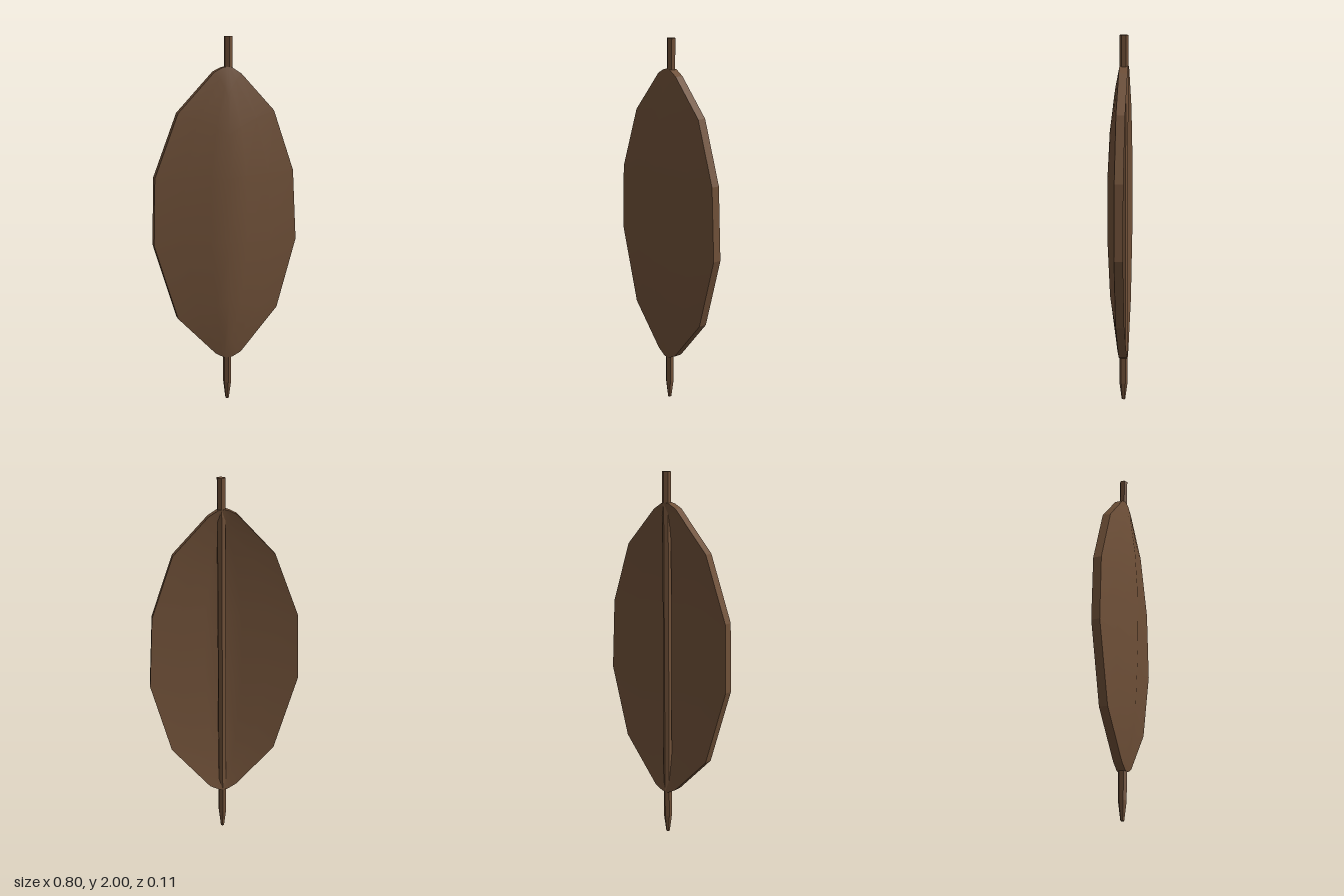
import * as THREE from 'three';

const THICK = 0.045, RIM_Z = -0.012;

// Cross-sections from top to bottom: [left x, left y, ridge y, ridge z, right x, right y]
const ROWS = [
  [-0.02, 1.842, 1.846, -0.012, 0.03, 1.842],
  [-0.065, 1.82, 1.7, 0.016, 0.08, 1.81],
  [-0.262, 1.61, 1.5, 0.041, 0.262, 1.615],
  [-0.39, 1.275, 1.27, 0.053, 0.375, 1.29],
  [-0.4, 0.915, 0.92, 0.055, 0.397, 0.905],
  [-0.275, 0.5, 0.6, 0.041, 0.29, 0.52],
  [-0.065, 0.28, 0.4, 0.014, 0.08, 0.275],
  [-0.015, 0.25, 0.248, -0.012, 0.03, 0.25],
];
const COLUMNS = [-1, -0.6, -0.25, 0, 0.25, 0.6, 1];

// Point on the shell: t runs from -1 (one rim) through 0 (ridge) to 1 (other rim)
function shellPoint([lx, ly, my, mz, rx, ry], t, offset) {
  const s = Math.abs(t);
  const edgeX = t < 0 ? lx : rx, edgeY = t < 0 ? ly : ry;
  return [edgeX * s, my + (edgeY - my) * s * (2 - s) ** 0.5, mz + (RIM_Z - mz) * s - offset];
}

function makeGeometry(positions, indices) {
  const g = new THREE.BufferGeometry();
  g.setAttribute('position', new THREE.Float32BufferAttribute(positions, 3));
  g.setIndex(indices);
  return g;
}

// Smooth curved face, facing forward or backward
function faceGeometry(offset, backward) {
  const pos = [], idx = [], n = COLUMNS.length;
  for (const row of ROWS) for (const t of COLUMNS) pos.push(...shellPoint(row, t, offset));
  for (let i = 0; i < ROWS.length - 1; i++) {
    for (let j = 0; j < n - 1; j++) {
      const a = i * n + j, b = a + 1, c = a + n, d = c + 1;
      if (backward) idx.push(a, b, c, b, d, c);
      else idx.push(a, c, b, b, c, d);
    }
  }
  const g = makeGeometry(pos, idx);
  g.computeVertexNormals();
  return g;
}

// Flat-faceted edge strip joining the two faces
function rimGeometry() {
  const loop = [
    ...ROWS.map((r) => shellPoint(r, -1, 0)),
    ...COLUMNS.slice(1, -1).map((t) => shellPoint(ROWS[ROWS.length - 1], t, 0)),
    ...[...ROWS].reverse().map((r) => shellPoint(r, 1, 0)),
    ...COLUMNS.slice(1, -1).reverse().map((t) => shellPoint(ROWS[0], t, 0)),
  ];
  const pos = [], idx = [], n = loop.length;
  loop.forEach(([x, y, z], i) => {
    pos.push(x, y, z, x, y, z - THICK);
    const a = 2 * i, c = 2 * ((i + 1) % n);
    idx.push(a, a + 1, c, c, a + 1, c + 1);
  });
  const g = makeGeometry(pos, idx).toNonIndexed();
  g.computeVertexNormals();
  return g;
}

// Six-sided pole with slight lean and sharpened lower end
function poleSection(rTop, rBottom, yTop, yBottom, open) {
  const g = new THREE.CylinderGeometry(rTop, rBottom, yTop - yBottom, 6, 1, open);
  g.translate(0, (yTop + yBottom) / 2, 0);
  const p = g.attributes.position;
  for (let i = 0; i < p.count; i++) {
    p.setX(i, p.getX(i) + 0.008 + 0.003 * p.getY(i));
    p.setZ(i, p.getZ(i) - 0.034);
  }
  const flat = g.toNonIndexed();
  flat.computeVertexNormals();
  return flat;
}

export function createModel() {
  const model = new THREE.Group();
  const wood = new THREE.MeshStandardMaterial({ color: 0x6f5038 });
  wood.name = 'brownWood';

  const add = (name, geometry, parent) => {
    const mesh = new THREE.Mesh(geometry, wood);
    mesh.name = name;
    parent.add(mesh);
  };

  // Ridged shell
  const shield = new THREE.Group();
  shield.name = 'shield';
  add('shieldFront', faceGeometry(0, false), shield);
  add('shieldBack', faceGeometry(THICK, true), shield);
  add('shieldRim', rimGeometry(), shield);

  // Pole running behind the shell
  const pole = new THREE.Group();
  pole.name = 'pole';
  add('poleShaft', poleSection(0.023, 0.023, 2, 0.1, false), pole);
  add('poleTip', poleSection(0.023, 0.01, 0.1, 0, false), pole);

  model.add(shield, pole);
  return model;
}
